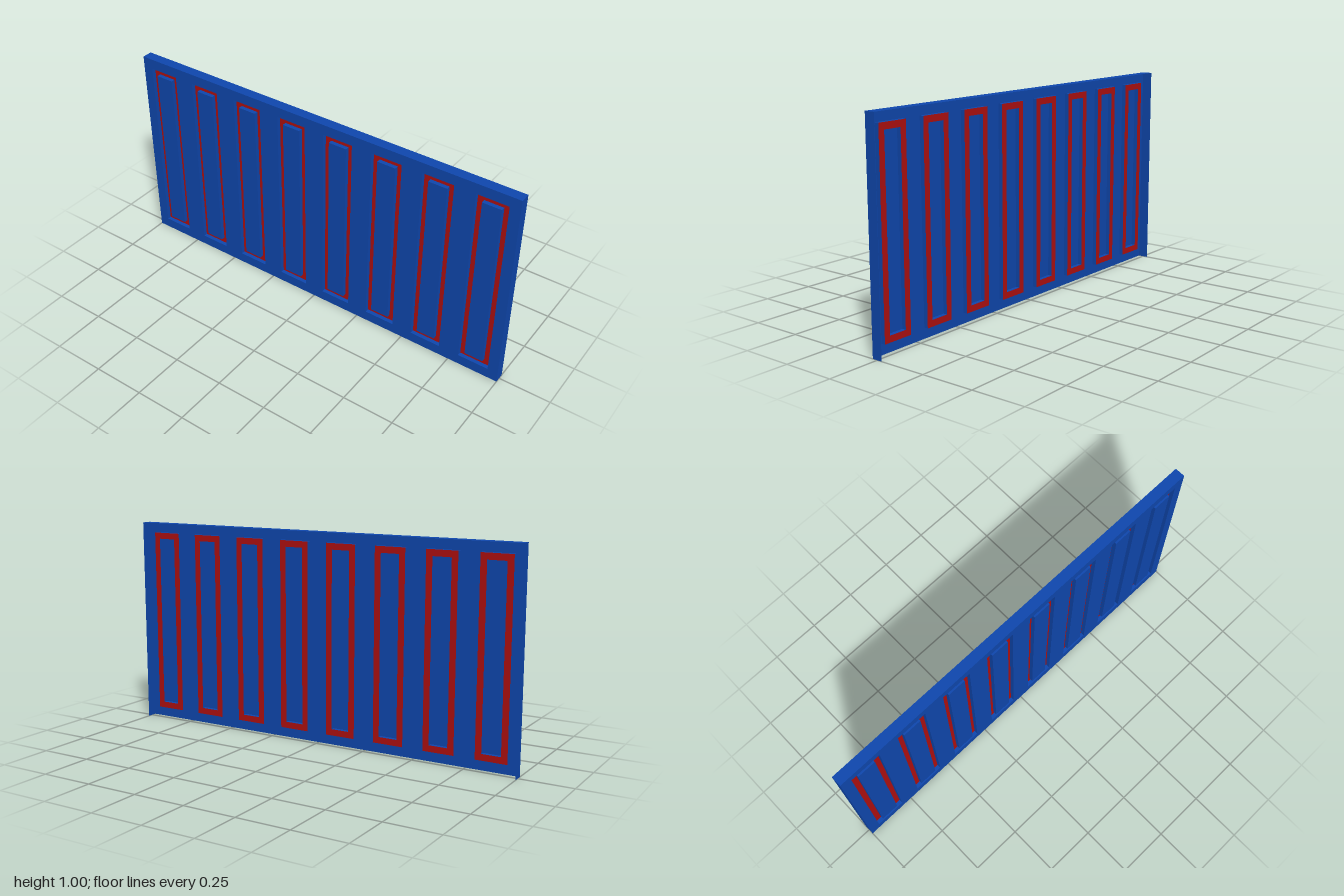
import * as THREE from 'three';

const W = 2, H = 1, D = 0.05;                 // overall panel size
const SLOTS = 8, PITCH = 0.25, MARGIN = 0.05; // pressed frames
const SLOT_W = 0.15, BAND = 0.03, DEPTH = 0.02;

const blue = new THREE.MeshStandardMaterial({ color: 0x0f48b0, side: THREE.DoubleSide });
const red = new THREE.MeshStandardMaterial({ color: 0xb01010, side: THREE.DoubleSide });

const rectPoints = (x0, y0, x1, y1) => [
  new THREE.Vector2(x0, y0), new THREE.Vector2(x1, y0),
  new THREE.Vector2(x1, y1), new THREE.Vector2(x0, y1),
];

function addMesh(parent, name, geometry, material, x = 0, y = 0, z = 0) {
  const mesh = new THREE.Mesh(geometry, material);
  mesh.name = name;
  mesh.position.set(x, y, z);
  parent.add(mesh);
  return mesh;
}

// Four thin walls running back from the edges of a rectangle
function addWalls(parent, name, [a, , c], z, depth) {
  const w = c.x - a.x, h = c.y - a.y, cx = (a.x + c.x) / 2, cy = (a.y + c.y) / 2;
  for (const s of [-1, 1]) {
    addMesh(parent, name + 'Side', new THREE.PlaneGeometry(depth, h), blue,
      cx + s * w / 2, cy, z - depth / 2).rotation.y = s * Math.PI / 2;
    addMesh(parent, name + (s > 0 ? 'Top' : 'Bottom'), new THREE.PlaneGeometry(w, depth), blue,
      cx, cy + s * h / 2, z - depth / 2).rotation.x = -s * Math.PI / 2;
  }
}

export function createModel() {
  const group = new THREE.Group();
  group.name = 'pressedPanel';
  const front = D / 2;
  const sheet = new THREE.Shape(rectPoints(-W / 2, 0, W / 2, H));

  // Pressed rectangular grooves with red floors
  for (let i = 0; i < SLOTS; i++) {
    const x = -W / 2 + MARGIN + i * PITCH;
    const outer = rectPoints(x, MARGIN, x + SLOT_W, H - MARGIN);
    const inner = rectPoints(x + BAND, MARGIN + BAND, x + SLOT_W - BAND, H - MARGIN - BAND);
    sheet.holes.push(new THREE.Path(outer));

    const groove = new THREE.Group();
    groove.name = 'groove';
    const floor = new THREE.Shape(outer);
    floor.holes.push(new THREE.Path(inner));
    addMesh(groove, 'grooveFloor', new THREE.ShapeGeometry(floor), red, 0, 0, front - DEPTH);
    addMesh(groove, 'centrePanel', new THREE.ShapeGeometry(new THREE.Shape(inner)), blue, 0, 0, front);
    addWalls(groove, 'outerWall', outer, front, DEPTH);
    addWalls(groove, 'innerWall', inner, front, DEPTH);
    group.add(groove);
  }
  addMesh(group, 'frontSheet', new THREE.ShapeGeometry(sheet), blue, 0, 0, front);

  // Flanges folded back along the top and both ends; the bottom stays open
  addMesh(group, 'topFlange', new THREE.PlaneGeometry(W, D), blue, 0, H, 0).rotation.x = -Math.PI / 2;
  for (const s of [-1, 1])
    addMesh(group, 'endFlange', new THREE.PlaneGeometry(D, H), blue, s * W / 2, H / 2, 0)
      .rotation.y = s * Math.PI / 2;

  return group;
}
